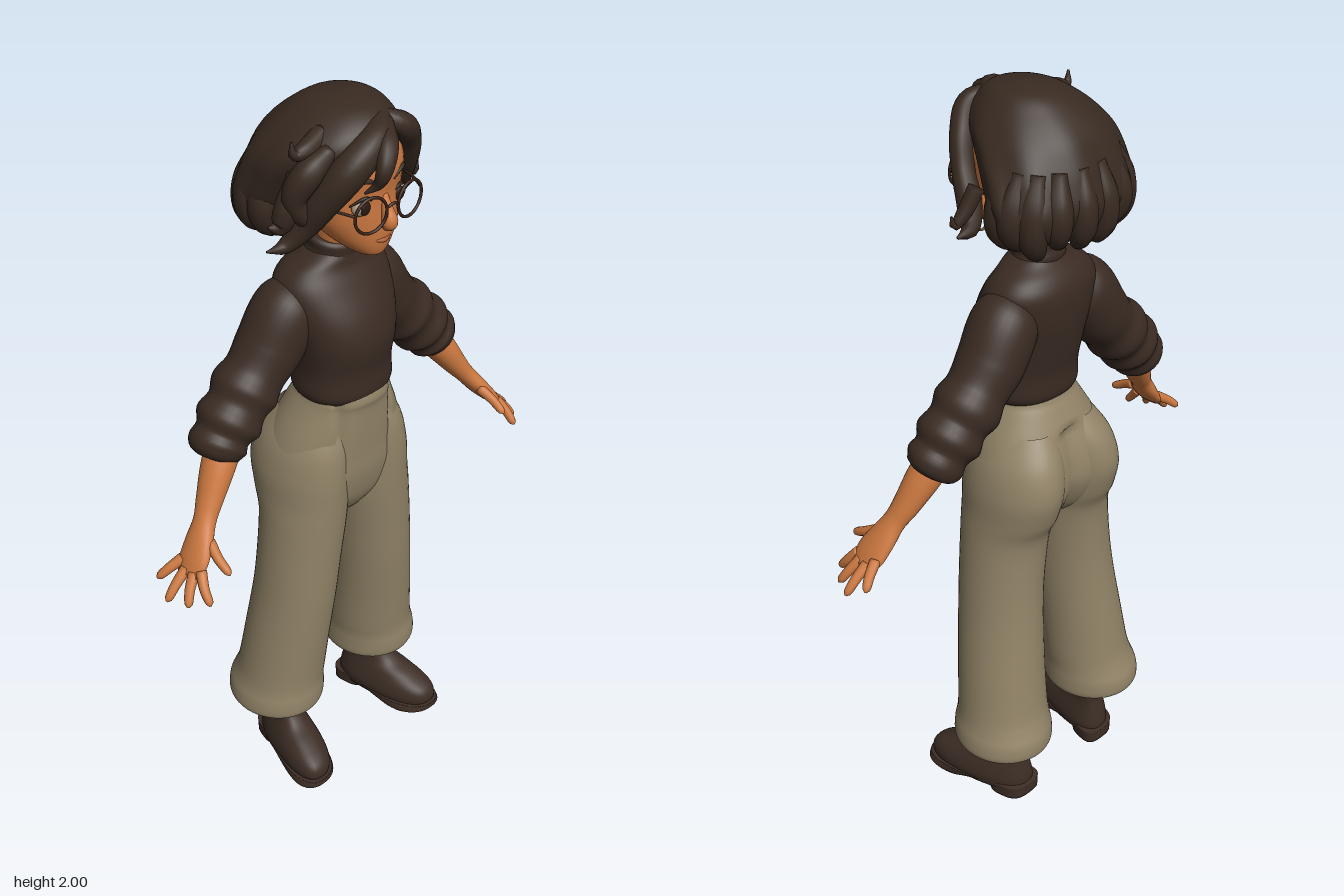
import * as THREE from 'three';

const mat = (name, color, side = THREE.FrontSide) => {
  const m = new THREE.MeshStandardMaterial({ color, side });
  m.name = name;
  return m;
};

// Catmull-Rom interpolation through rows of numbers, t in 0..1
function interp(rows, t) {
  const n = rows.length - 1, i = Math.min(Math.floor(t * n), n - 1), f = t * n - i;
  const [a, b, c, d] = [Math.max(i - 1, 0), i, i + 1, Math.min(i + 2, n)].map(k => rows[k]);
  return b.map((_, k) => b[k] + 0.5 * f * (c[k] - a[k] + f * (2 * a[k] - 5 * b[k] + 4 * c[k] - d[k]
    + f * (3 * (b[k] - c[k]) + d[k] - a[k]))));
}

// Skin over closed rings of points; caps close the two ends
function skinRings(rings, caps) {
  const pos = [], idx = [], n = rings[0].length, m = rings.length;
  rings.forEach(r => r.forEach(p => pos.push(p.x, p.y, p.z)));
  for (let i = 0; i < m - 1; i++) for (let j = 0; j < n; j++) {
    const k = (j + 1) % n, a = i * n + j, b = i * n + k;
    idx.push(a, b, b + n, a, b + n, a + n);
  }
  if (caps) [0, m - 1].forEach(i => {
    const c = new THREE.Vector3();
    rings[i].forEach(p => c.addScaledVector(p, 1 / n));
    const ci = pos.length / 3;
    pos.push(c.x, c.y, c.z);
    for (let j = 0; j < n; j++) {
      const a = i * n + j, b = i * n + (j + 1) % n;
      idx.push(ci, ...(i ? [a, b] : [b, a]));
    }
  });
  const g = new THREE.BufferGeometry();
  g.setAttribute('position', new THREE.Float32BufferAttribute(pos, 3));
  g.setIndex(idx);
  g.computeVertexNormals();
  return g;
}

// Horizontal rings from bottom to top; row = [y, centre x, half width, front z, back z]
function stack(rows, { e = 1, caps = true, tweak, n = 48, steps = 5 } = {}) {
  const rings = [], m = (rows.length - 1) * steps;
  const pw = v => Math.sign(v) * Math.abs(v) ** e;
  for (let i = 0; i <= m; i++) {
    const [y, cx, rx, zf, zb] = interp(rows, i / m), ring = [];
    for (let j = 0; j < n; j++) {
      const a = j / n * Math.PI * 2;
      const v = new THREE.Vector3(cx + rx * pw(Math.sin(a)), y, (zf + zb) / 2 + (zf - zb) / 2 * pw(Math.cos(a)));
      if (tweak) tweak(v, a);
      ring.push(v);
    }
    rings.push(ring);
  }
  return skinRings(rings, caps);
}

// Tapered sweep; point = [x, y, z, radius, second radius]
function limb(points, s = 1, n = 16, steps = 6) {
  const curve = new THREE.CatmullRomCurve3(points.map(p => new THREE.Vector3(p[0] * s, p[1], p[2])));
  const radii = points.map(p => [p[3], p[4] ?? p[3]]), m = (points.length - 1) * steps;
  const { normals, binormals } = curve.computeFrenetFrames(m);
  const rings = [];
  for (let i = 0; i <= m; i++) {
    const c = curve.getPointAt(i / m), [rn, rb] = interp(radii, curve.getUtoTmapping(i / m));
    rings.push(Array.from({ length: n }, (_, j) => {
      const a = j / n * Math.PI * 2;
      return c.clone().addScaledVector(normals[i], rn * Math.cos(a)).addScaledVector(binormals[i], rb * Math.sin(a));
    }));
  }
  return skinRings(rings, true);
}

export function createModel() {
  const root = new THREE.Group();
  root.name = 'woman';
  const skin = mat('skin', 0xcb7840), knit = mat('knit', 0x3a2b23), cloth = mat('trouserCloth', 0x918367, THREE.DoubleSide);
  const leather = mat('leather', 0x3d2e26), hairMat = mat('hair', 0x382a21), frame = mat('frame', 0x3a2316);
  const white = mat('eyeWhite', 0xa8937c), iris = mat('iris', 0x2a1b14), lip = mat('lip', 0xa95a34), gold = mat('gold', 0x6e4a25);
  const add = (name, geo, m) => {
    const mesh = new THREE.Mesh(geo, m);
    mesh.name = name;
    root.add(mesh);
    return mesh;
  };
  const ball = (name, m, p, r) => {
    const b = add(name, new THREE.SphereGeometry(1, 24, 16), m);
    b.position.set(...p);
    b.scale.set(...r);
    return b;
  };

  // Jumper and leaning roll collar
  add('jumperBody', stack([[1.215, 0, 0.116, 0.105, -0.095], [1.24, 0, 0.128, 0.118, -0.108], [1.3, 0, 0.125, 0.118, -0.112],
    [1.38, 0, 0.135, 0.128, -0.128], [1.45, 0, 0.148, 0.11, -0.138], [1.52, 0, 0.155, 0.07, -0.138],
    [1.56, 0, 0.13, 0.045, -0.12], [1.585, 0, 0.09, 0.038, -0.095], [1.6, 0, 0.064, 0.03, -0.085]], { e: 0.9 }), knit);
  add('rollCollar', stack([[1.57, 0, 0.068, 0.04, -0.09], [1.585, 0, 0.071, 0.042, -0.092], [1.605, 0, 0.066, 0.038, -0.088],
    [1.628, 0, 0.068, 0.04, -0.09], [1.637, 0, 0.06, 0.033, -0.083]], { tweak: v => { v.y -= (v.z + 0.025) * 0.25; } }), knit);

  // Trousers: hips with pleats, then the wide legs
  add('trouserHips', stack([[0.84, 0, 0.07, 0.05, -0.08], [0.9, 0, 0.17, 0.085, -0.14], [0.98, 0, 0.203, 0.104, -0.175],
    [1.05, 0, 0.193, 0.108, -0.172], [1.12, 0, 0.168, 0.112, -0.15], [1.19, 0, 0.132, 0.115, -0.118],
    [1.215, 0, 0.12, 0.12, -0.105], [1.24, 0, 0.114, 0.115, -0.098]], {
    e: 0.92, n: 96, tweak: v => {
      if (v.z > 0 && v.y > 1) v.z -= 0.012 * Math.exp(-(((Math.abs(v.x) - 0.085) / 0.01) ** 2)) * Math.min(1, (v.y - 1) * 8);
      if (v.z < 0 && v.y < 1.14) v.z += 0.02 * Math.exp(-((v.x / 0.035) ** 2));
    }
  }), cloth);
  const legRows = [[0.23, 0.17, 0.108, 0.045, -0.185], [0.203, 0.177, 0.119, 0.057, -0.2], [0.215, 0.179, 0.129, 0.066, -0.21], [0.25, 0.177, 0.127, 0.067, -0.208],
    [0.285, 0.172, 0.121, 0.064, -0.195], [0.33, 0.166, 0.118, 0.066, -0.182], [0.45, 0.155, 0.113, 0.077, -0.165],
    [0.6, 0.139, 0.108, 0.09, -0.147], [0.72, 0.127, 0.107, 0.096, -0.14], [0.85, 0.112, 0.108, 0.102, -0.145],
    [0.92, 0.106, 0.107, 0.105, -0.173], [1, 0.102, 0.105, 0.106, -0.191], [1.08, 0.09, 0.095, 0.1, -0.175], [1.15, 0.07, 0.07, 0.08, -0.13]];

  for (const s of [1, -1]) {
    const side = s > 0 ? 'left' : 'right';
    add(side + 'TrouserLeg', stack(legRows.map(([y, x, ...r]) => [y, x * s, ...r]), { caps: false }), cloth);

    // Boots, toes turned slightly out
    const turn = { e: 0.82, tweak: v => { v.x += s * 0.2 * (v.z + 0.05); } };
    add(side + 'Boot', stack([[0.022, s * 0.172, 0.062, 0.152, -0.14], [0.05, s * 0.172, 0.067, 0.16, -0.142], [0.08, s * 0.172, 0.062, 0.145, -0.138],
      [0.11, s * 0.171, 0.052, 0.09, -0.132], [0.135, s * 0.17, 0.045, 0.035, -0.128], [0.18, s * 0.17, 0.043, 0.002, -0.128],
      [0.26, s * 0.17, 0.043, -0.005, -0.13], [0.32, s * 0.17, 0.042, -0.01, -0.125]], turn), leather);
    add(side + 'BootSole', stack([[0.004, s * 0.172, 0.064, 0.148, 0.01], [0.015, s * 0.172, 0.069, 0.166, -0.02], [0.034, s * 0.172, 0.069, 0.166, -0.1]], turn), leather);
    add(side + 'BootHeel', stack([[0, s * 0.172, 0.054, -0.045, -0.148], [0.04, s * 0.172, 0.056, -0.03, -0.15]], { ...turn, e: 0.65 }), leather);

    // Gathered sleeve, forearm, palm and fingers
    add(side + 'Sleeve', limb([[0.07, 1.5, -0.04, 0.05], [0.125, 1.463, -0.045, 0.083], [0.185, 1.375, -0.05, 0.084], [0.232, 1.322, -0.05, 0.077],
      [0.265, 1.288, -0.05, 0.086], [0.293, 1.257, -0.047, 0.075], [0.322, 1.226, -0.045, 0.084], [0.344, 1.2, -0.043, 0.069],
      [0.363, 1.178, -0.04, 0.074], [0.378, 1.158, -0.035, 0.06], [0.382, 1.152, -0.034, 0.045]], s, 32), knit);
    add(side + 'ForearmAndPalm', limb([[0.34, 1.19, -0.035, 0.046, 0.044], [0.385, 1.128, -0.018, 0.044, 0.04], [0.43, 1.06, 0, 0.035, 0.03],
      [0.455, 1.025, 0.012, 0.031, 0.025], [0.485, 0.985, 0.025, 0.041, 0.023], [0.515, 0.947, 0.037, 0.046, 0.018], [0.537, 0.919, 0.042, 0.036, 0.011]], s, 24), skin);
    const fingers = { thumb: [0.472, 0.99, 0.05, 0.482, 0.945, 0.135], index: [0.52, 0.94, 0.072, 0.54, 0.875, 0.127],
      middle: [0.53, 0.93, 0.056, 0.578, 0.868, 0.088], ring: [0.533, 0.93, 0.03, 0.602, 0.868, 0.036], little: [0.525, 0.945, 0.008, 0.585, 0.898, -0.02] };
    for (const [name, [x, y, z, X, Y, Z]] of Object.entries(fingers))
      add(side + name[0].toUpperCase() + name.slice(1) + 'Finger', limb([[x, y, z, 0.014], [(x + X) / 2 + 0.004, (y + Y) / 2, (z + Z) / 2, 0.0125],
        [X * 0.9 + x * 0.1, Y * 0.9 + y * 0.1, Z * 0.9 + z * 0.1, 0.01], [X, Y, Z, 0.003]], s, 10, 4), skin);

    // Ear, hoop, eye, brow and spectacles
    ball(side + 'Ear', skin, [s * 0.125, 1.74, 0.02], [0.018, 0.036, 0.025]);
    const hoop = add(side + 'Earring', new THREE.TorusGeometry(0.015, 0.003, 8, 24), gold);
    hoop.position.set(s * 0.13, 1.69, 0.025);
    ball(side + 'EyeWhite', white, [s * 0.054, 1.77, 0.127], [0.027, 0.022, 0.015]);
    ball(side + 'Iris', iris, [s * 0.053, 1.77, 0.139], [0.015, 0.017, 0.006]);
    add(side + 'Eyelid', limb([[0.024, 1.774, 0.138, 0.002], [0.05, 1.794, 0.14, 0.005], [0.086, 1.779, 0.122, 0.002]], s, 8), iris);
    add(side + 'Eyebrow', limb([[0.022, 1.822, 0.15, 0.003], [0.055, 1.838, 0.141, 0.007], [0.092, 1.82, 0.112, 0.002]], s, 8), hairMat);
    const rim = add(side + 'SpectacleRim', new THREE.TorusGeometry(0.043, 0.0038, 8, 40), frame);
    rim.position.set(s * 0.06, 1.765, 0.165);
    rim.rotation.y = s * 0.15;
    add(side + 'SpectacleArm', limb([[0.103, 1.775, 0.158, 0.0035], [0.125, 1.778, 0.1, 0.0035], [0.135, 1.77, 0.01, 0.003]], s, 8), frame);
  }
  add('spectacleBridge', limb([[-0.018, 1.77, 0.17, 0.0035], [0, 1.778, 0.174, 0.0035], [0.018, 1.77, 0.17, 0.0035]], 1, 8), frame);

  // Head, neck, nose and mouth
  add('neck', limb([[0, 1.57, -0.03, 0.05], [0, 1.63, -0.015, 0.05], [0, 1.7, 0.01, 0.052]], 1, 24), skin);
  add('head', stack([[1.629, 0, 0.018, 0.128, 0.085], [1.638, 0, 0.04, 0.137, 0.05], [1.66, 0, 0.067, 0.144, 0.0], [1.69, 0, 0.092, 0.148, -0.05],
    [1.73, 0, 0.11, 0.149, -0.075], [1.79, 0, 0.118, 0.149, -0.09], [1.85, 0, 0.12, 0.155, -0.1], [1.91, 0, 0.1, 0.13, -0.09], [1.96, 0, 0.04, 0.07, -0.04]]), skin);
  add('nose', limb([[0, 1.79, 0.142, 0.009], [0, 1.755, 0.155, 0.014], [0, 1.725, 0.163, 0.019], [0, 1.708, 0.152, 0.01]], 1, 16), skin);
  add('mouth', limb([[-0.034, 1.681, 0.136, 0.002], [0, 1.675, 0.147, 0.006], [0.034, 1.681, 0.136, 0.002]], 1, 8), lip);

  // Wavy bob: main volume
  add('hairVolume', stack([[1.67, -0.01, 0.11, -0.05, -0.15], [1.7, -0.015, 0.185, -0.02, -0.19], [1.76, -0.012, 0.205, 0.028, -0.212],
    [1.82, -0.018, 0.195, 0.075, -0.198], [1.87, -0.025, 0.18, 0.12, -0.178], [1.91, -0.025, 0.158, 0.155, -0.155],
    [1.95, -0.02, 0.123, 0.148, -0.115], [1.985, -0.008, 0.075, 0.105, -0.062], [2, 0, 0.015, 0.03, 0.01]], {
    n: 72, tweak: (v, a) => {
      const k = 1 + 0.02 * Math.sin(9 * a + v.y * 14) * Math.min(1, (2 - v.y) * 6);
      v.x *= k;
      v.z *= k;
    }
  }), hairMat);
  // Curled-under ends round the sides and back
  for (let k = 0; k < 10; k++) {
    const a = Math.PI * (0.42 + 1.16 * k / 9), d = 0.012 * Math.sin(k * 2.4);
    const at = (f, y, r) => [-0.012 + 0.2 * f * Math.sin(a), y, -0.085 + 0.12 * f * Math.cos(a), r];
    add('hairEnd' + k, limb([at(0.72, 1.85, 0.02), at(0.86, 1.77, 0.036), at(0.86, 1.71 + d, 0.033), at(0.7, 1.672 + d, 0.02), at(0.58, 1.665 + d, 0.004)], 1, 12), hairMat);
  }
  // Parted fringe and loose curls
  const locks = {
    sweptFringe: [[0.04, 1.96, 0.09, 0.02], [-0.03, 1.935, 0.145, 0.036], [-0.1, 1.885, 0.145, 0.042], [-0.145, 1.81, 0.105, 0.04], [-0.17, 1.745, 0.07, 0.032], [-0.215, 1.7, 0.05, 0.018], [-0.265, 1.705, 0.05, 0.003]],
    frontLock: [[0.02, 1.95, 0.12, 0.02], [-0.03, 1.925, 0.18, 0.026], [-0.06, 1.885, 0.203, 0.019], [-0.065, 1.852, 0.19, 0.012], [-0.085, 1.83, 0.17, 0.003]],
    leftFringe: [[0, 1.965, 0.09, 0.015], [0.06, 1.935, 0.13, 0.028], [0.11, 1.88, 0.105, 0.03], [0.138, 1.81, 0.075, 0.028], [0.16, 1.75, 0.035, 0.03], [0.185, 1.7, 0.01, 0.022], [0.222, 1.69, 0.01, 0.004]],
    leftCurl: [[0.17, 1.8, 0, 0.02], [0.2, 1.745, 0.01, 0.018], [0.228, 1.72, 0.015, 0.01], [0.235, 1.745, 0.015, 0.003]],
    rightCurl: [[-0.17, 1.86, 0.05, 0.025], [-0.205, 1.8, 0.055, 0.03], [-0.225, 1.75, 0.045, 0.022], [-0.25, 1.755, 0.04, 0.004]],
    upperRightCurl: [[-0.11, 1.94, 0.06, 0.025], [-0.165, 1.925, 0.07, 0.022], [-0.2, 1.925, 0.07, 0.012], [-0.205, 1.955, 0.07, 0.003]],
    rightSideWave: [[-0.12, 1.92, 0.1, 0.02], [-0.175, 1.88, 0.09, 0.034], [-0.2, 1.82, 0.07, 0.03], [-0.18, 1.77, 0.08, 0.022], [-0.15, 1.74, 0.09, 0.004]]
  };
  for (const [name, pts] of Object.entries(locks)) add(name, limb(pts, 1, 14), hairMat);
  return root;
}
